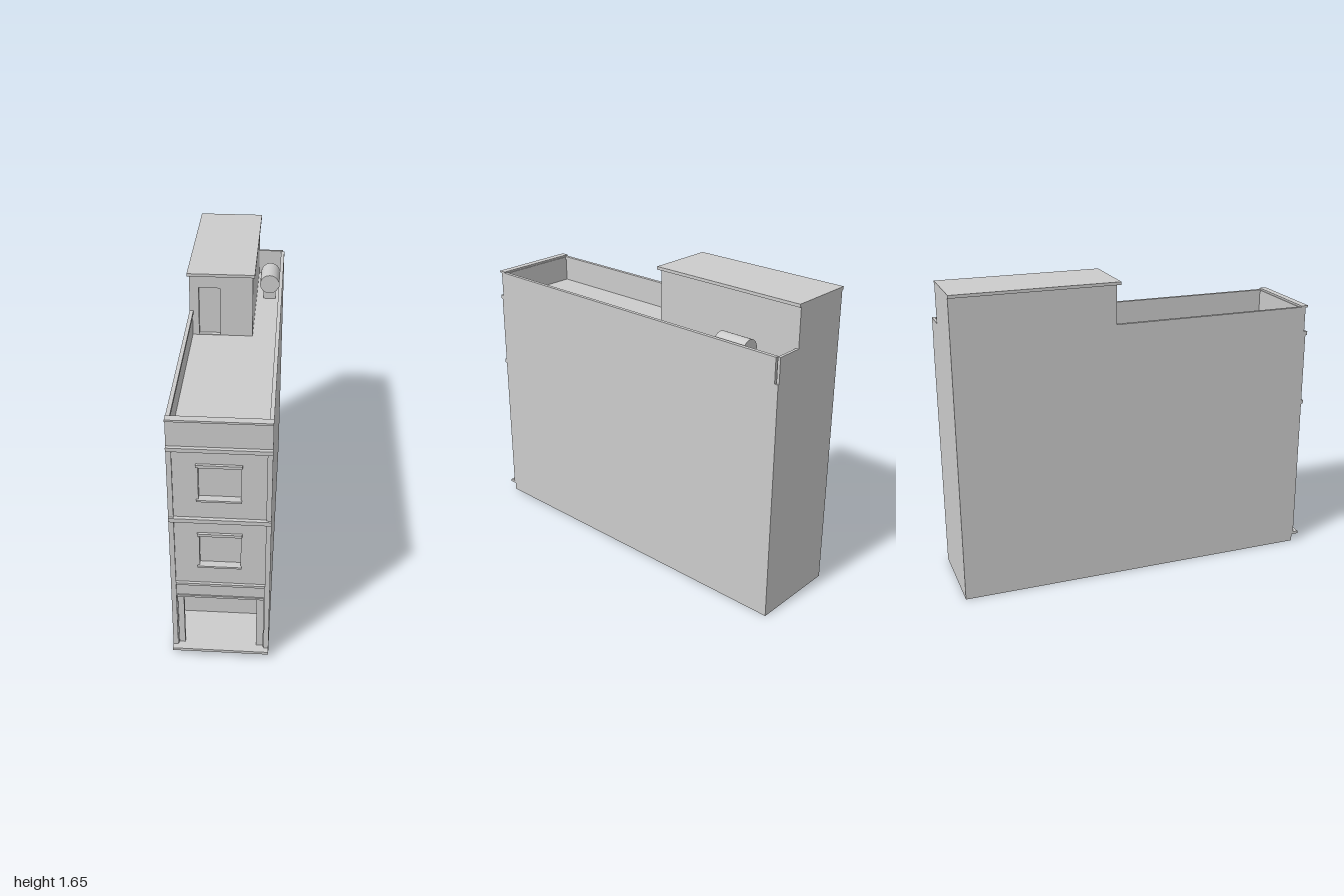
import * as THREE from 'three';

export function createModel() {
  const group = new THREE.Group();
  const mat = new THREE.MeshStandardMaterial({ color: 0xcccccc, flatShading: true });
  const smooth = new THREE.MeshStandardMaterial({ color: 0xcccccc });

  const add = (name, geometry, material = mat) => {
    const mesh = new THREE.Mesh(geometry, material);
    mesh.name = name;
    group.add(mesh);
    return mesh;
  };
  // Box given by its limits on each axis
  const box = (name, x0, x1, y0, y1, z0, z1) =>
    add(name, new THREE.BoxGeometry(x1 - x0, y1 - y0, z1 - z0))
      .position.set((x0 + x1) / 2, (y0 + y1) / 2, (z0 + z1) / 2);
  // Upright wall facing +z with rectangular openings [x0, x1, y0, y1]
  const wall = (name, [x0, x1, y0, y1], openings, z0, z1) => {
    const shape = new THREE.Shape([[x0, y0], [x1, y0], [x1, y1], [x0, y1]].map(p => new THREE.Vector2(...p)));
    for (const [a, b, c, d] of openings)
      shape.holes.push(new THREE.Path([[a, c], [a, d], [b, d], [b, c]].map(p => new THREE.Vector2(...p))));
    add(name, new THREE.ExtrudeGeometry(shape, { depth: z1 - z0, bevelEnabled: false })).position.z = z0;
  };

  const L = -0.24, R = 0.25, T = 0.015;
  const floors = [0.59, 0.99];
  const shop = [-0.21, 0.22, 0.055, 0.39];

  // Outer shell, open underneath
  wall('frontWall', [L, R, 0, 1.42],
    [shop, ...floors.map(y => [-0.095, 0.105, y, y + 0.185])], 0.93, 0.96);
  box('rightSideWall', L, L + T, 0, 1.42, -1, 0.93);
  box('leftSideWall', R - T, R, 0, 1.42, -0.98, 0.93);
  box('leftSideWallEnd', R - T, R, 0, 1.29, -1, -0.98);
  box('backWall', L + T, R - T, 0, 1.28, -1, -0.98);
  box('roofDeck', L + T, R - T, 1.265, 1.28, -0.98, 0.93);

  // Parapet copings
  box('frontCoping', L, R, 1.42, 1.43, 0.935, 0.975);
  box('leftCoping', R - 0.02, R, 1.405, 1.423, -0.98, 0.935);
  box('rightCoping', L, L + 0.02, 1.405, 1.423, -0.14, 0.935);
  box('backParapet', 0.1, 0.242, 1.28, 1.425, -1, -0.985);

  // Open shop room on the ground floor
  box('shopFloor', shop[0], shop[1], 0.04, 0.055, 0.72, 0.96);
  box('shopCeiling', shop[0], shop[1], 0.39, 0.4, 0.72, 0.93);
  box('shopBackWall', shop[0], shop[1], 0.055, 0.39, 0.71, 0.72);
  box('shopRightWall', shop[0] - 0.01, shop[0], 0.04, 0.4, 0.71, 0.93);
  box('shopLeftWall', shop[1], shop[1] + 0.01, 0.04, 0.4, 0.71, 0.93);
  box('doorstep', L, R, 0.04, 0.055, 0.96, 1);
  box('shopJamb', shop[0], -0.18, 0.055, 0.38, 0.925, 0.95);
  box('shopJamb', 0.185, shop[1], 0.055, 0.38, 0.925, 0.95);
  box('shopLintel', shop[0], shop[1], 0.38, 0.392, 0.925, 0.967);

  // Facade strips and floor bands
  box('cornerStrip', L, -0.215, 0.055, 1.265, 0.96, 0.969);
  box('cornerStrip', 0.225, R, 0.055, 1.265, 0.96, 0.969);
  box('lowerBand', -0.215, 0.225, 0.465, 0.478, 0.96, 0.975);
  box('middleBand', L, R, 0.86, 0.882, 0.96, 0.98);
  box('upperBand', L, R, 1.263, 1.283, 0.96, 0.98);

  // Recessed windows with a sill and a head moulding
  for (const y of floors) {
    box('windowPane', -0.1, 0.11, y - 0.005, y + 0.19, 0.92, 0.932);
    box('windowSill', -0.105, 0.11, y - 0.01, y, 0.94, 0.972);
    box('windowHead', -0.105, 0.112, y + 0.185, y + 0.2, 0.94, 0.974);
  }

  // Rooftop stair house with a recessed door
  wall('stairHouseFront', [L, 0.1, 1.28, 1.63], [[-0.19, -0.075, 1.283, 1.558]], -0.165, -0.14);
  box('stairHouse', L, 0.1, 1.28, 1.63, -1, -0.165);
  box('stairHouseRoof', -0.25, 0.11, 1.63, 1.646, -1, -0.12);

  // Lying water tank on two supports
  const tank = add('waterTank', new THREE.CylinderGeometry(0.055, 0.055, 0.18, 32), smooth);
  tank.rotation.x = Math.PI / 2;
  tank.position.set(0.175, 1.38, -0.685);
  for (const z of [-0.74, -0.63]) box('tankSupport', 0.14, 0.21, 1.28, 1.345, z - 0.01, z + 0.01);

  return group;
}
